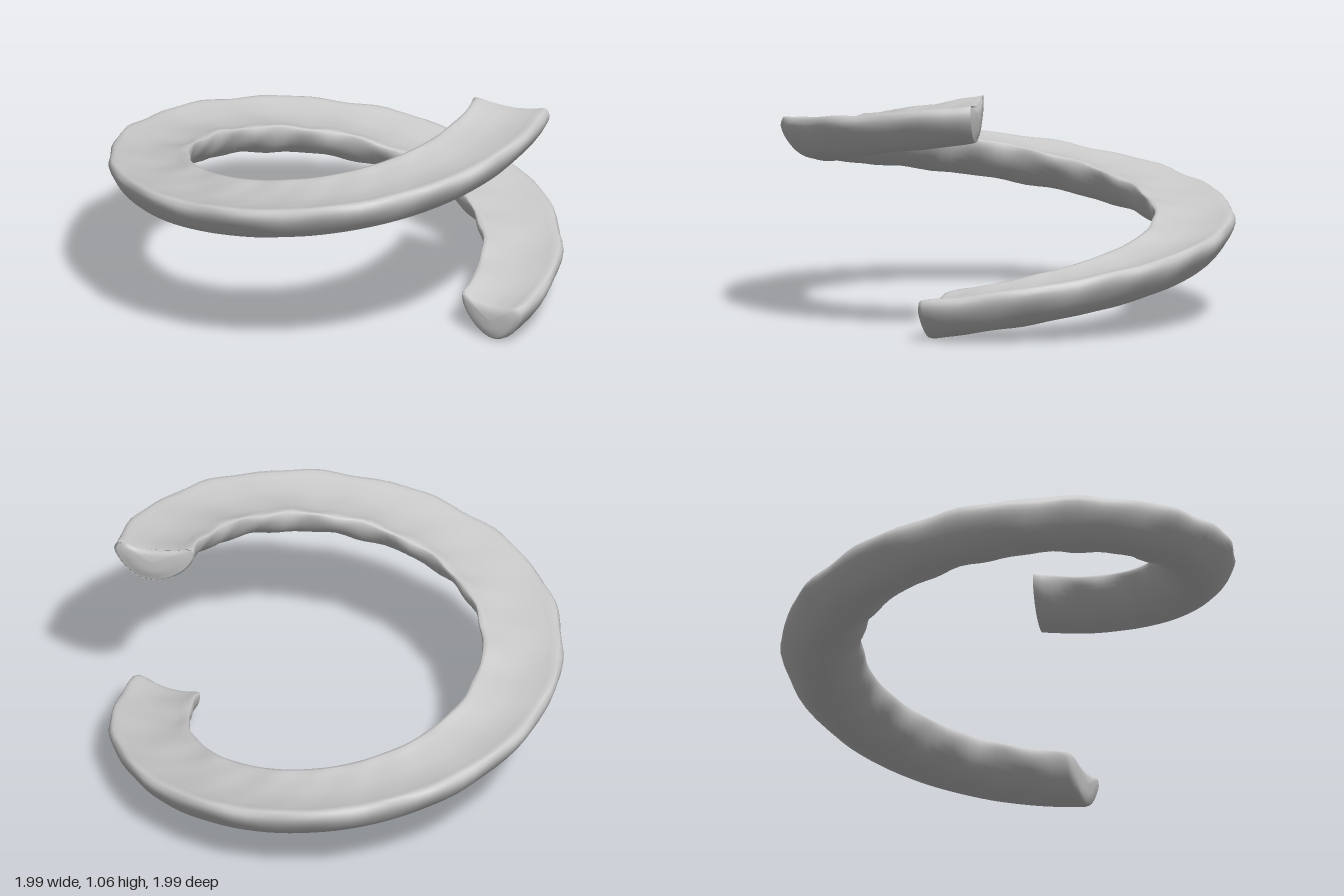
import * as THREE from 'three';

// Single-turn coil swept from a D-shaped section: nearly flat on top, rounded below
const SECTION = [
  [0.645, 0.185], [0.645, 0.14], [0.685, 0.07], [0.75, 0.018], [0.83, 0.0], [0.905, 0.022],
  [0.965, 0.085], [0.995, 0.15], [0.98, 0.185], [0.92, 0.175], [0.82, 0.163], [0.71, 0.172],
];
const CENTRE = [0.82, 0.1];
const SWEEP = Math.PI * 2 + 0.255;
const RISE = 0.875;
const STEPS = 110;
const SIDES = 36;

export function createModel() {
  const grey = new THREE.MeshStandardMaterial({ color: 0xcacaca });
  grey.name = 'light grey';

  const outline = new THREE.CatmullRomCurve3(
    SECTION.map(([r, y]) => new THREE.Vector3(r, y, 0)), true, 'centripetal',
  ).getPoints(SIDES).slice(0, SIDES);

  // Rings along the coil as [angle, section scale]; the ends are softly rounded
  const cap = [[-0.03, 0], [-0.028, 0.45], [-0.022, 0.78], [-0.008, 0.94]];
  const rings = cap.map(([a, s]) => [a, s]);
  for (let i = 0; i <= STEPS; i++) rings.push([0.015 + (i / STEPS) * (SWEEP - 0.03), 1]);
  cap.slice().reverse().forEach(([a, s]) => rings.push([SWEEP - a - 0.03, s]));

  const positions = [];
  const index = [];
  rings.forEach(([angle, scale], i) => {
    const climb = (RISE * angle) / SWEEP;
    // The start is slightly narrower than the rest
    const narrow = 1 - 0.09 * Math.exp(-Math.max(angle, 0) * 4);
    outline.forEach((p, j) => {
      // Gentle hand-modelled unevenness
      const wobble = 0.004 * Math.sin(angle * 13 + j * 0.35) + 0.003 * Math.sin(angle * 23 - j * 0.5);
      const r = CENTRE[0] + (p.x - CENTRE[0]) * scale * narrow + wobble * scale;
      const y = CENTRE[1] + (p.y - CENTRE[1]) * scale + climb + wobble * 0.6 * scale;
      positions.push(r * Math.cos(angle), Math.max(y, 0), -r * Math.sin(angle));
      if (i === rings.length - 1) return;
      const k = (j + 1) % SIDES;
      const a = i * SIDES + j, b = i * SIDES + k;
      index.push(a, a + SIDES, b, b, a + SIDES, b + SIDES);
    });
  });

  const geometry = new THREE.BufferGeometry();
  geometry.setAttribute('position', new THREE.Float32BufferAttribute(positions, 3));
  geometry.setIndex(index);
  geometry.computeVertexNormals();

  const coil = new THREE.Mesh(geometry, grey);
  coil.name = 'coil';
  const group = new THREE.Group();
  group.name = 'spiralRing';
  group.add(coil);
  return group;
}
